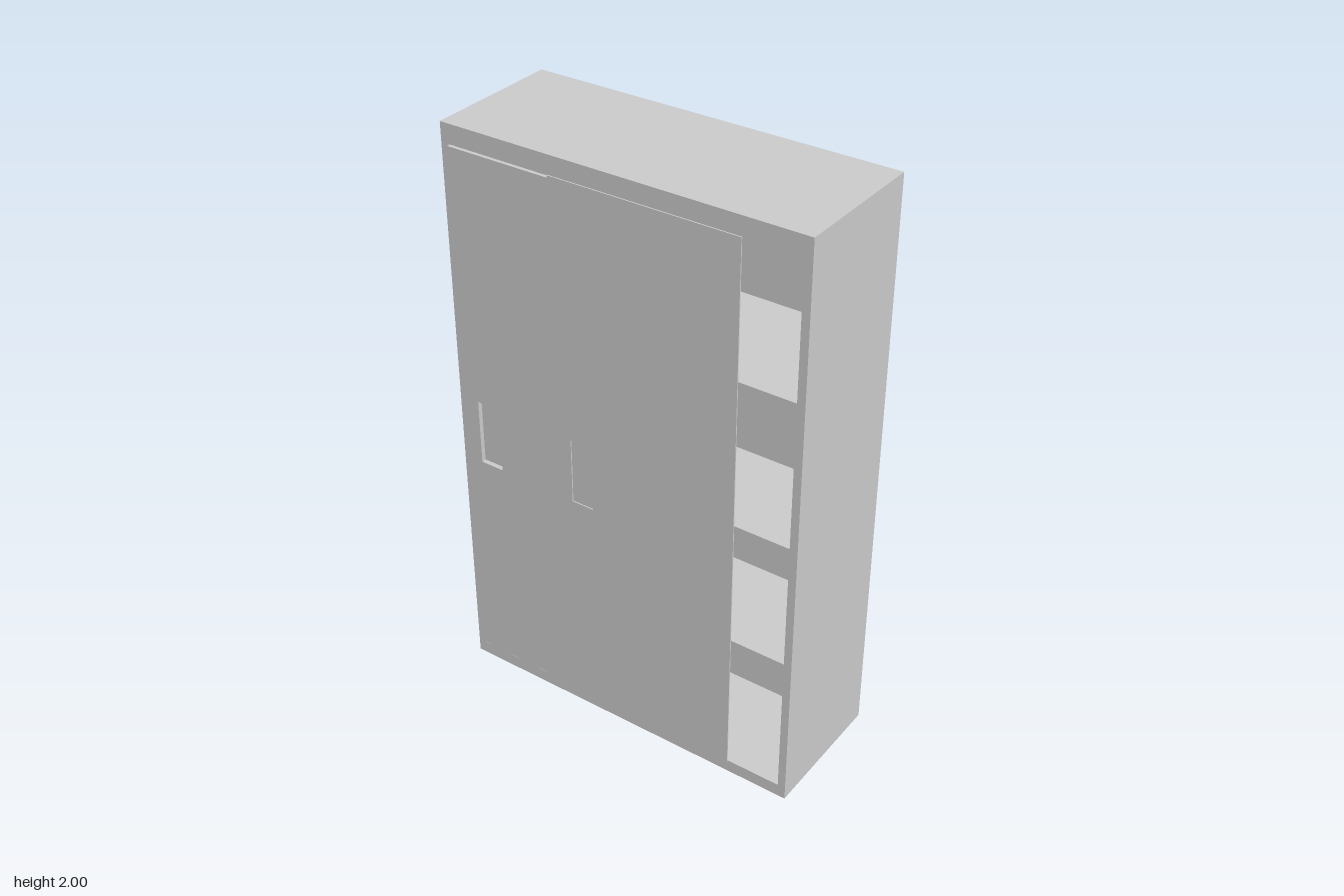
import * as THREE from 'three';

const material = new THREE.MeshStandardMaterial({ color: 0xcccccc, flatShading: true });

// Rectangle in the (z, y) plane, optionally as a hole
function rect(z0, z1, y0, y1, Type = THREE.Shape) {
  const r = new Type();
  r.moveTo(z0, y0);
  r.lineTo(z1, y0);
  r.lineTo(z1, y1);
  r.lineTo(z0, y1);
  r.closePath();
  return r;
}

// Upright panel with a rectangular cut-out, reaching from x0 to x1
function panel(name, outer, hole, x0, x1) {
  const shape = rect(...outer);
  shape.holes.push(rect(...hole, THREE.Path));
  const geometry = new THREE.ExtrudeGeometry(shape, { depth: x1 - x0, bevelEnabled: false });
  geometry.rotateY(-Math.PI / 2);
  const mesh = new THREE.Mesh(geometry, material);
  mesh.position.x = x1;
  mesh.name = name;
  return mesh;
}

function box(name, x0, x1, y0, y1, z0, z1) {
  const mesh = new THREE.Mesh(new THREE.BoxGeometry(x1 - x0, y1 - y0, z1 - z0), material);
  mesh.position.set((x0 + x1) / 2, (y0 + y1) / 2, (z0 + z1) / 2);
  mesh.name = name;
  return mesh;
}

export function createModel() {
  const group = new THREE.Group();
  group.name = 'slidingDoorCabinet';
  const back = 0.22, inner = 0.603;

  // Hollow carcass, open towards -x, and its back panel
  group.add(panel('carcass', [-0.63, 0.63, 0, 2], [-inner, inner, 0.045, 1.935], -0.232, back));
  group.add(box('backPanel', back, 0.24, 0, 2, -0.63, 0.63));

  // Rear sliding door with a recessed grip
  const grip = [0.835, 1.065];
  group.add(panel('rearDoor', [-0.606, 0.04, 0.05, 1.93], [-0.555, -0.47, ...grip], -0.236, -0.22));
  group.add(box('gripBack', -0.22, -0.215, 0.8, 1.1, -0.58, -0.44));

  // Thin front door sliding over it
  group.add(panel('frontDoor', [-0.235, 0.415, 0.045, 1.94], [-0.183, -0.104, ...grip], -0.24, -0.236));

  // Thin upper shelf
  group.add(box('upperShelf', -0.215, back, 1.465, 1.475, -inner, inner));

  // Deep shelf blocks: front x, bottom y, top y
  for (const [x, y0, y1] of [[-0.162, 1.35, 1.465], [-0.139, 0.79, 0.907], [-0.177, 0.365, 0.495]]) {
    group.add(box('shelf', x, back, y0, y1, -inner, inner));
  }
  return group;
}
